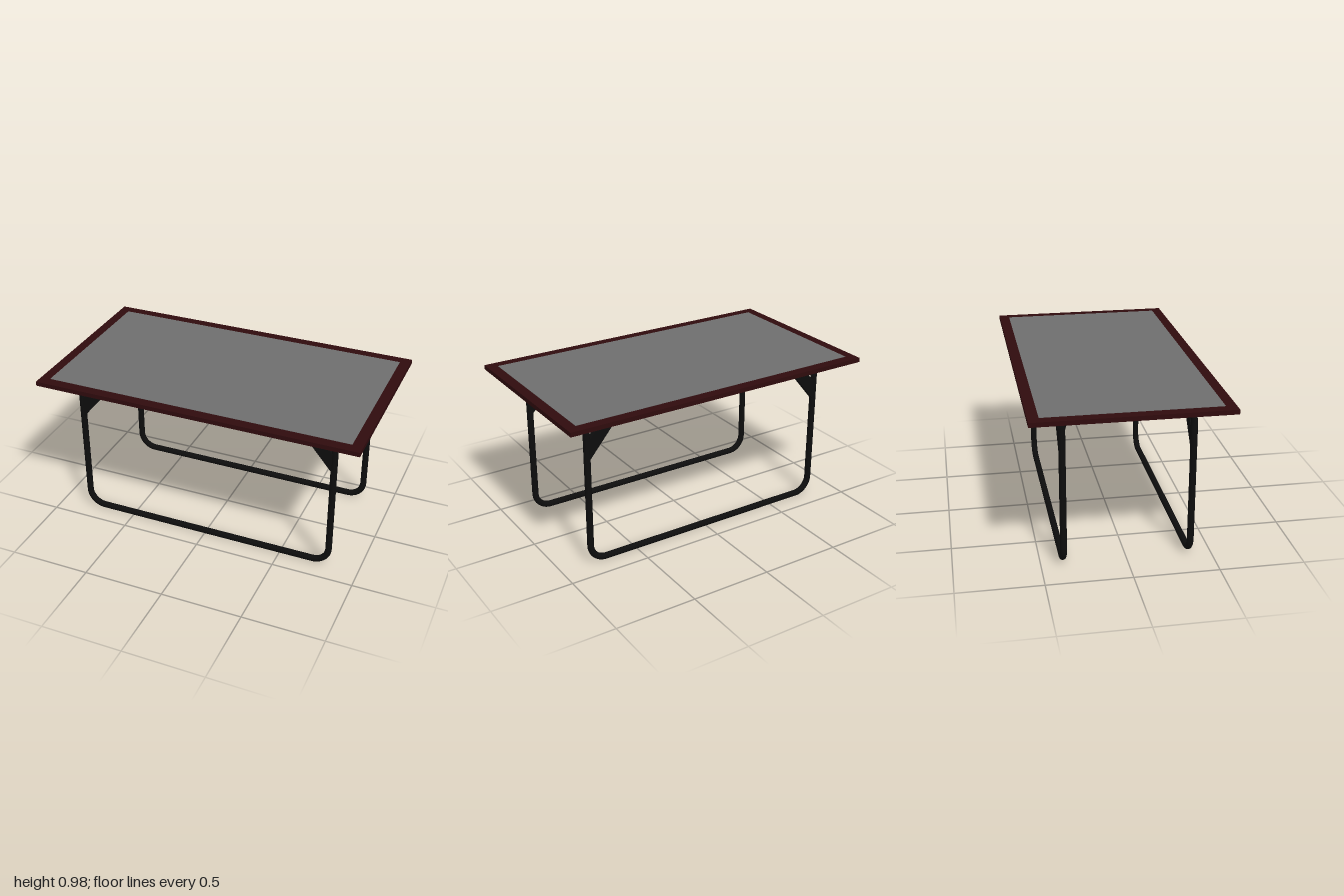
import * as THREE from 'three';

const mat = (name, color) => {
  const m = new THREE.MeshStandardMaterial({ color });
  m.name = name;
  return m;
};

// Closed path through the corners, each rounded by a quarter circle
function roundedLoop(corners) {
  const path = new THREE.CurvePath();
  const bends = corners.map(({ p, r }, i) => {
    const n = corners.length;
    const toPrev = corners[(i + n - 1) % n].p.clone().sub(p).normalize();
    const toNext = corners[(i + 1) % n].p.clone().sub(p).normalize();
    const at = (dir, k) => p.clone().addScaledVector(dir, r * k);
    return new THREE.CubicBezierCurve3(at(toPrev, 1), at(toPrev, 0.448), at(toNext, 0.448), at(toNext, 1));
  });
  bends.forEach((bend, i) => {
    path.add(bend);
    path.add(new THREE.LineCurve3(bend.v3, bends[(i + 1) % bends.length].v0));
  });
  path.arcLengthDivisions = 1000;
  return path;
}

export function createModel() {
  const wood = mat('dark red wood', 0x2f0b0d);
  const grey = mat('grey inlay', 0x6e6e6e);
  const black = mat('black metal', 0x0d0d0d);
  const model = new THREE.Group();
  model.name = 'table';

  const add = (name, geometry, material, x = 0, y = 0, z = 0) => {
    const mesh = new THREE.Mesh(geometry, material);
    mesh.name = name;
    mesh.position.set(x, y, z);
    model.add(mesh);
    return mesh;
  };

  // Table top with a thin inlaid panel
  add('tableTop', new THREE.BoxGeometry(2, 0.027, 1.134), wood, 0, 0.9605, 0);
  add('topInlay', new THREE.BoxGeometry(1.876, 0.002, 1.01), grey, 0, 0.975, 0);

  // One continuous bent tube: floor runners, four legs and two top bars
  const X = 0.809, Z = 0.37, LOW = 0.02, HIGH = 0.928;
  const corners = [
    [X, HIGH, Z], [X, LOW, Z], [-X, LOW, Z], [-X, HIGH, Z],
    [-X, HIGH, -Z], [-X, LOW, -Z], [X, LOW, -Z], [X, HIGH, -Z],
  ].map(([x, y, z]) => ({ p: new THREE.Vector3(x, y, z), r: y === LOW ? 0.1 : 0.09 }));
  add('legFrame', new THREE.TubeGeometry(roundedLoop(corners), 480, 0.0197, 16, true), black);

  // Diagonal braces between the legs and the top
  for (const side of [-1, 1]) {
    const shape = new THREE.Shape(
      [[0.8, 0.8], [0.669, 0.948], [0.574, 0.948], [0.8, 0.678]].map(([x, y]) => new THREE.Vector2(side * x, y)));
    for (const end of [-1, 1]) {
      const brace = new THREE.ExtrudeGeometry(shape, { depth: 0.032, bevelEnabled: false });
      add(`${end > 0 ? 'front' : 'back'}${side > 0 ? 'Left' : 'Right'}Brace`, brace, black, 0, 0, end * Z - 0.016);
    }
  }
  return model;
}
